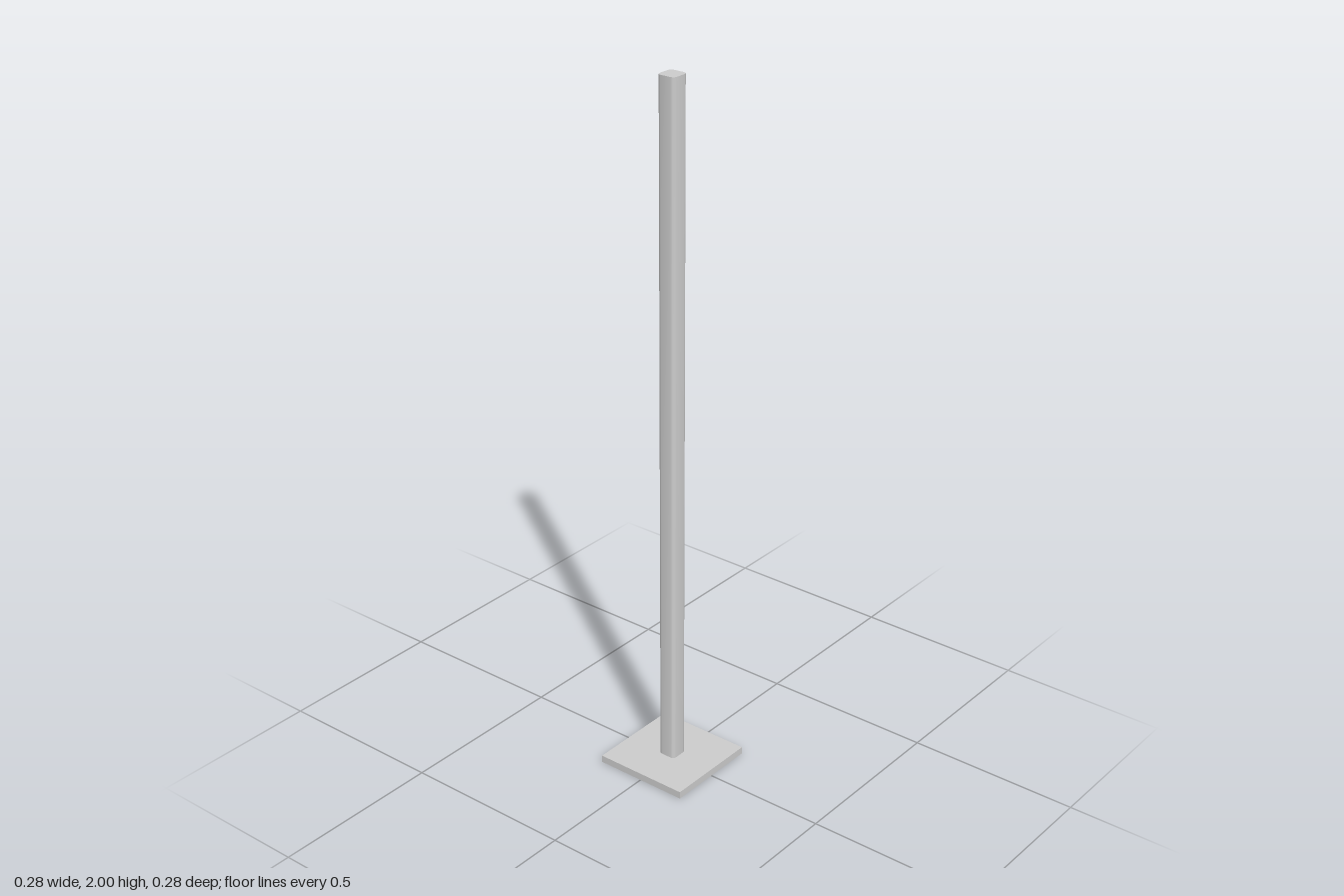
import * as THREE from 'three';
import { toCreasedNormals, mergeGeometries } from 'three/addons/utils/BufferGeometryUtils.js';

const PLATE = 0.141, PLATE_H = 0.021, POST = 0.0268, CORNER = 0.011, TOP = 2;

// Square outline with optional rounded corners, counter-clockwise from above
function outline(half, radius = 0, steps = 0) {
  const points = [];
  for (let corner = 0; corner < 4; corner++) {
    const start = corner * Math.PI / 2, mid = start + Math.PI / 4;
    const c = (half - radius) * Math.SQRT2;
    for (let i = 0; i <= steps; i++) {
      const a = steps ? start + (i / steps) * Math.PI / 2 : mid;
      points.push(new THREE.Vector2(
        c * Math.cos(mid) + radius * Math.cos(a),
        c * Math.sin(mid) + radius * Math.sin(a)));
    }
  }
  return points;
}

// Thin sheet closing the outline at height y
function lid(points, y, hole) {
  const shape = new THREE.Shape(points);
  if (hole) shape.holes.push(new THREE.Path(hole));
  return new THREE.ShapeGeometry(shape).rotateX(-Math.PI / 2).translate(0, y, 0).toNonIndexed();
}

// Open band of walls following the outline
function walls(points, y0, y1) {
  const pos = [];
  points.forEach((a, i) => {
    const b = points[(i + 1) % points.length];
    const [p, q, r, s] = [[a.x, y0, -a.y], [b.x, y0, -b.y], [b.x, y1, -b.y], [a.x, y1, -a.y]];
    pos.push(...p, ...q, ...r, ...p, ...r, ...s);
  });
  const geometry = new THREE.BufferGeometry();
  geometry.setAttribute('position', new THREE.Float32BufferAttribute(pos, 3));
  geometry.computeVertexNormals();
  return geometry;
}

export function createModel() {
  const group = new THREE.Group();
  const material = new THREE.MeshStandardMaterial({ color: 0xcccccc, side: THREE.DoubleSide });
  const add = (name, parts) => {
    parts.forEach(g => g.deleteAttribute('uv'));
    const mesh = new THREE.Mesh(toCreasedNormals(mergeGeometries(parts), 0.6), material);
    mesh.name = name;
    group.add(mesh);
  };
  const square = outline(PLATE);
  const tube = outline(POST, CORNER, 3);

  // Shallow base plate, open underneath, with an opening into the post
  add('basePlate', [walls(square, 0, PLATE_H), lid(square, PLATE_H, tube)]);
  // Hollow square post with rounded corners, closed at the top
  add('post', [walls(tube, PLATE_H, TOP), lid(tube, TOP)]);
  return group;
}
